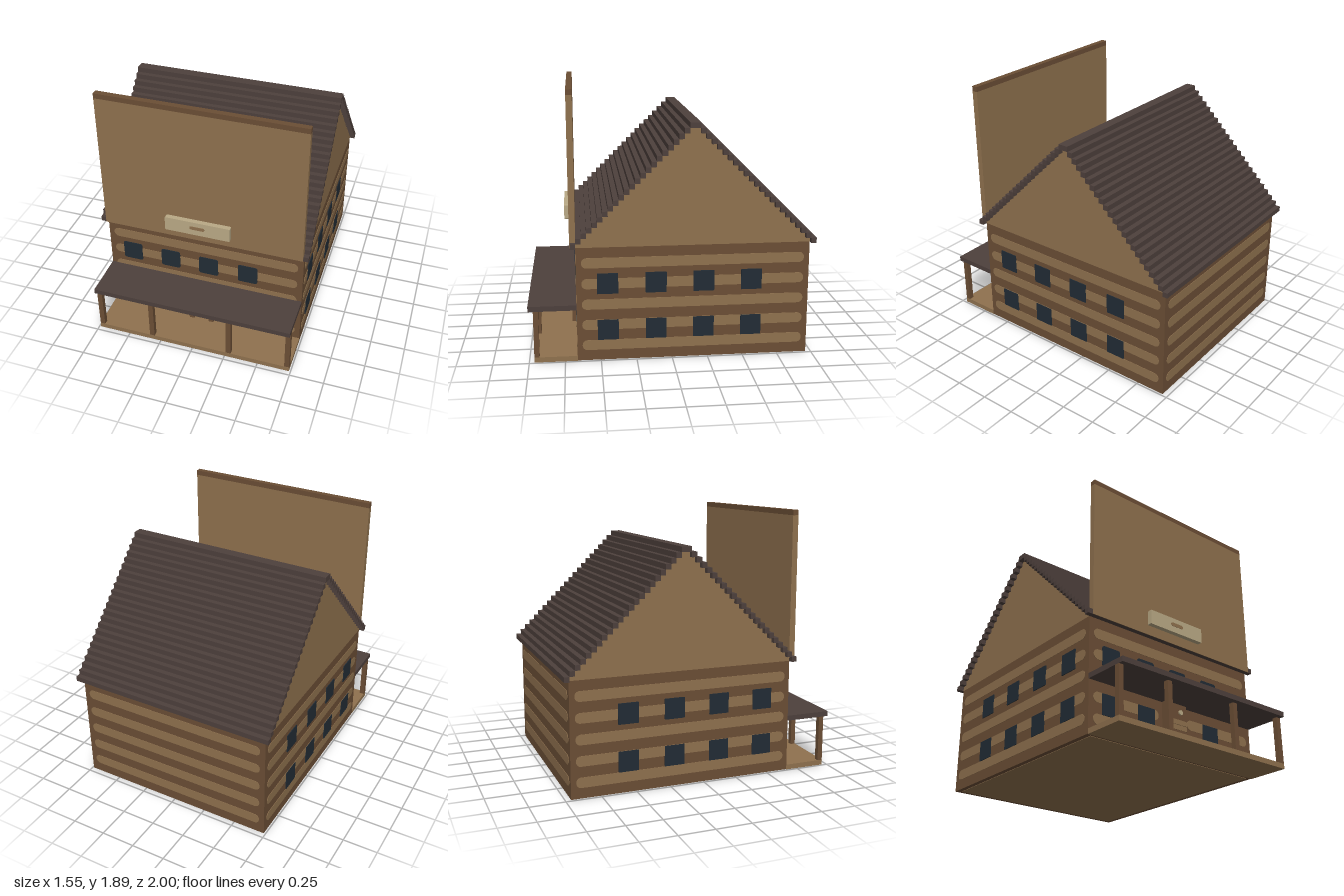
import * as THREE from 'three';

const mat = (name, color) => {
  const m = new THREE.MeshStandardMaterial({ color });
  m.name = name;
  return m;
};

export function createModel() {
  const model = new THREE.Group();
  model.name = 'timberBuilding';

  const brown = mat('darkTimber', 0x6b4e35);
  const tan = mat('lightTimber', 0x8f714e);
  const slate = mat('roofShingle', 0x4d403c);
  const glass = mat('windowGlass', 0x222c35);
  const cream = mat('signBoard', 0xb9a985);

  // Box given by its lower and upper limits on each axis
  const box = (name, m, [x0, x1], [y0, y1], [z0, z1], parent = model) => {
    const mesh = new THREE.Mesh(new THREE.BoxGeometry(x1 - x0, y1 - y0, z1 - z0), m);
    mesh.position.set((x0 + x1) / 2, (y0 + y1) / 2, (z0 + z1) / 2);
    mesh.name = name;
    parent.add(mesh);
    return mesh;
  };

  // Thin plate with rounded corners, standing proud of a wall's local z = 0
  const plate = (name, m, [x0, x1], [y0, y1], r, depth, parent) => {
    const s = new THREE.Shape();
    s.absarc(x1 - r, y0 + r, r, -Math.PI / 2, 0);
    s.absarc(x1 - r, y1 - r, r, 0, Math.PI / 2);
    s.absarc(x0 + r, y1 - r, r, Math.PI / 2, Math.PI);
    s.absarc(x0 + r, y0 + r, r, Math.PI, Math.PI * 1.5);
    const geo = new THREE.ExtrudeGeometry(s, { depth, bevelEnabled: false, curveSegments: 4 });
    const mesh = new THREE.Mesh(geo, m);
    mesh.name = name;
    parent.add(mesh);
    return mesh;
  };

  const W = 0.738, FRONT = 0.664, BACK = -0.962, EAVE = 0.82;
  const step = 1.7 / 46, ROWS = 23, ridgeZ = -0.15;

  // Main walls and the lighter floor underneath
  box('walls', brown, [-W, W], [0.003, EAVE], [BACK, FRONT]);
  box('floor', tan, [-W + 0.035, W - 0.035], [0, 0.02], [BACK + 0.035, FRONT - 0.02]);

  // One group per wall: local x runs along it, local z points outward
  const wall = (name, x, z, turn) => {
    const g = new THREE.Group();
    g.name = name;
    g.position.set(x, 0, z);
    g.rotation.y = turn;
    model.add(g);
    return g;
  };
  const logRows = [0, 1, 2, 3, 4].map(i => 0.078 + i * 0.149);
  const log = (g, span, y) => plate('log', tan, span, [y, y + 0.073], 0.036, 0.003, g);
  const pane = (g, u, y, r) =>
    plate('window', glass, [u - 0.073, u + 0.073], [y, y + 0.147], r, 0.006, g);

  // Front wall, with the lower logs interrupted by the doorway
  const front = wall('frontWall', 0, FRONT, 0);
  logRows.forEach((y, i) => {
    if (i < 2) {
      log(front, [-0.70, -0.15], y);
      log(front, [0.11, 0.70], y);
    } else log(front, [-0.70, 0.70], y);
  });
  [-0.557, -0.258, 0.035, 0.332].forEach((u, i) => {
    pane(front, u, 0.488, 0.015);
    if (i !== 2) pane(front, u, 0.152, 0.002);
  });

  // Back wall
  const back = wall('backWall', 0, BACK, Math.PI);
  logRows.forEach(y => log(back, [-0.70, 0.70], y));

  // Side walls, mirrored
  for (const side of [1, -1]) {
    const g = wall(side > 0 ? 'leftWall' : 'rightWall', side * W, 0, side * Math.PI / 2);
    const span = side > 0 ? [-0.628, 0.925] : [-0.925, 0.628];
    logRows.forEach(y => log(g, span, y));
    for (const u of [-0.448, -0.113, 0.22, 0.555])
      for (const y of [0.152, 0.488]) pane(g, side * u, y, 0.004);
  }

  // Gable block with a stepped outline that fits below the roof rows
  const outline = [];
  for (let i = 0; i < ROWS - 1; i++) {
    const h = 0.85 - (i + 1) * step;
    outline.push([h, EAVE + i * step], [h, EAVE + (i + 1) * step]);
  }
  const gableShape = new THREE.Shape([
    ...outline.map(([h, y]) => new THREE.Vector2(h, y)),
    ...outline.reverse().map(([h, y]) => new THREE.Vector2(-h, y)),
  ]);
  const gable = new THREE.Mesh(
    new THREE.ExtrudeGeometry(gableShape, { depth: 2 * W, bevelEnabled: false }), tan);
  gable.rotation.y = Math.PI / 2;
  gable.position.set(-W, 0, ridgeZ);
  gable.name = 'gable';
  model.add(gable);

  // Stepped roof rows on both slopes
  const roof = new THREE.Group();
  roof.name = 'roof';
  model.add(roof);
  for (let i = 0; i < ROWS; i++) {
    const outer = 0.85 - i * step, y = EAVE + i * step;
    for (const [a, b] of [[outer - step, outer], [-outer, step - outer]])
      box('roofRow', slate, [-0.776, 0.776], [y, y + step], [ridgeZ + a, ridgeZ + b], roof);
  }

  // Tall false front with a dark cap
  box('falseFront', tan, [-W, W], [EAVE, 1.855], [0.662, 0.704]);
  box('falseFrontCap', brown, [-W, W], [1.855, 1.892], [0.662, 0.704]);

  // Blank sign board with a small painted mark
  const sign = wall('sign', 0, 0.704, 0);
  plate('signBoard', cream, [-0.26, 0.22], [0.892, 1.0], 0.006, 0.035, sign);
  const mark = plate('signMark', tan, [-0.075, 0.035], [0.938, 0.964], 0.012, 0.003, sign);
  mark.position.z = 0.035;

  // Porch deck, posts and roof
  box('porchDeck', tan, [-W, W], [0, 0.037], [FRONT, 0.965]);
  for (const x of [-W, -0.335, 0.26, 0.701])
    box('porchPost', brown, [x, x + 0.037], [0.037, 0.373], [0.928, 0.964]);
  box('porchRoof', slate, [-W, W], [0.373, 0.41], [FRONT, 1.0]);

  // Doorway: frame, half-height swing door with slats, and a lamp above
  const door = new THREE.Group();
  door.name = 'doorway';
  model.add(door);
  for (const x of [-0.115, 0.038])
    box('doorPost', brown, [x, x + 0.037], [0.037, 0.3], [FRONT, 0.70], door);
  box('doorLintel', brown, [-0.115, 0.075], [0.3, 0.373], [FRONT, 0.70], door);
  box('swingDoor', brown, [-0.078, 0.038], [0.115, 0.3], [FRONT, 0.70], door);
  for (const y of [0.188, 0.226])
    box('doorSlat', tan, [-0.113, 0.073], [y, y + 0.035], [0.69, 0.703], door);
  const lamp = new THREE.Mesh(new THREE.CylinderGeometry(0.018, 0.018, 0.012, 8), cream);
  lamp.rotation.x = Math.PI / 2;
  lamp.position.set(0.018, 0.315, 0.704);
  lamp.name = 'doorLamp';
  door.add(lamp);

  return model;
}
